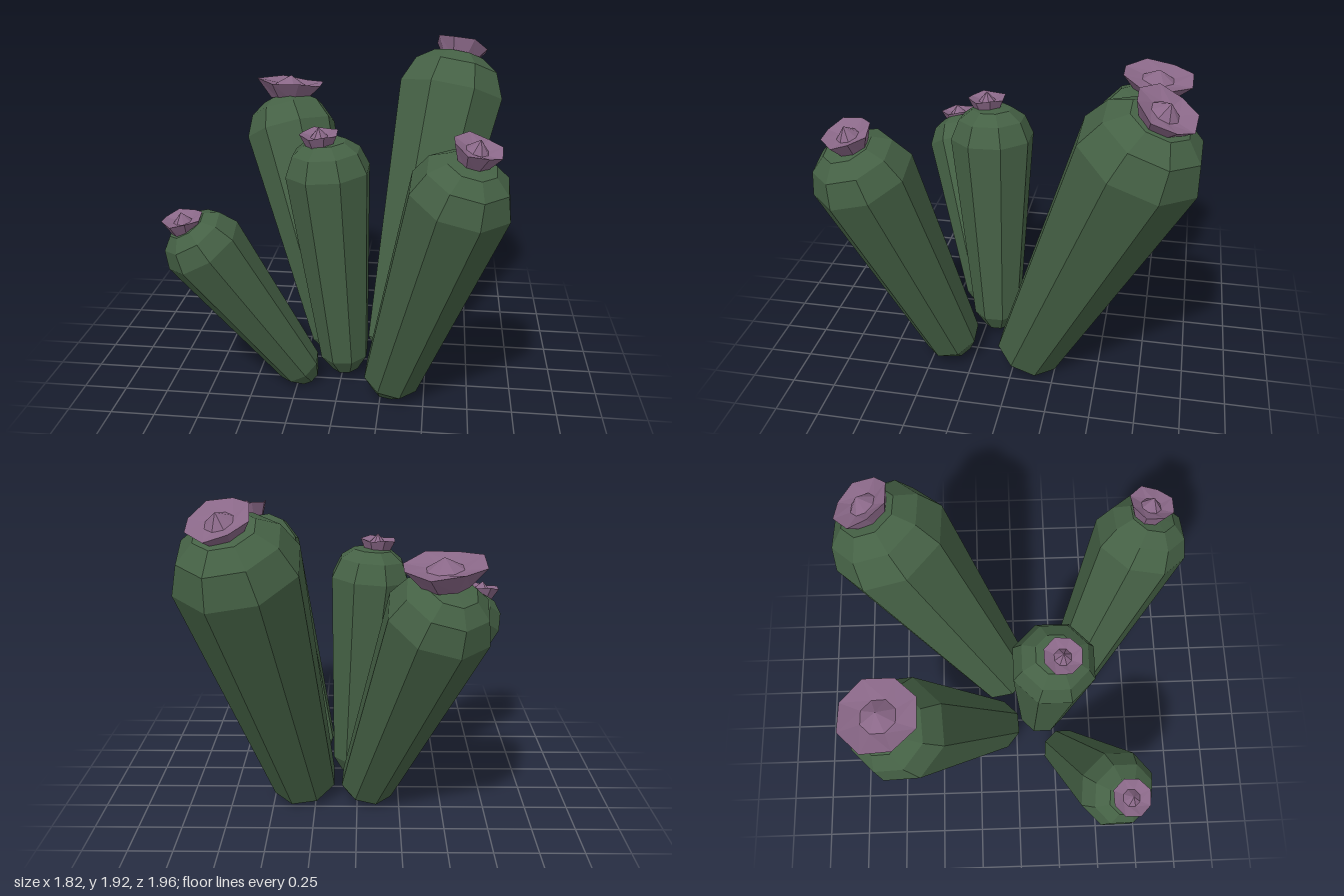
import * as THREE from 'three';

const SIDES = 8;
const UP = new THREE.Vector3(0, 1, 0);
const green = new THREE.MeshStandardMaterial({ color: 0x456145, flatShading: true });
const purple = new THREE.MeshStandardMaterial({ color: 0x8a6888, flatShading: true });

// Eight-sided lathe from [radius, height] pairs, flats facing the axes
function lathe(profile) {
  const pts = profile.map(([r, y]) => new THREE.Vector2(r, y));
  return new THREE.LatheGeometry(pts, SIDES, Math.PI / SIDES, Math.PI * 2);
}

// Stands a geometry at a point, leaning along a direction
function place(geometry, origin, direction) {
  geometry.applyQuaternion(new THREE.Quaternion().setFromUnitVectors(UP, direction.clone().normalize()));
  return geometry.translate(origin.x, origin.y, origin.z);
}

// Tapered stem with a pinched foot and a faceted dome
function makeStem(low, high, r0, r1) {
  const axis = high.clone().sub(low);
  const L = axis.length();
  const k = 1 / Math.cos(Math.PI / SIDES);
  const a = r0 * 1.04, b = r1 * (1 + k) / 2;
  const g = lathe([
    [0, -0.1], [a * 0.55, -0.1], [a, 0], [b, L],
    [b * 0.8, L + r1 * 0.48], [b * 0.48, L + r1 * 0.72], [0, L + r1 * 0.76],
  ]);
  place(g, low, axis);
  // Flatten the foot on the ground
  const p = g.attributes.position;
  for (let i = 0; i < p.count; i++) p.setY(i, Math.max(0, p.getY(i)));
  const mesh = new THREE.Mesh(g, green);
  mesh.name = 'stem';
  return mesh;
}

// Flared cup with an uneven rim and a pointed centre
function makeFlower(base, direction, R, h) {
  const g = lathe([[0, -0.02], [R * 0.55, -0.02], [R, h], [R * 0.45, h * 0.7], [0, h * 1.3]]);
  const p = g.attributes.position;
  for (let i = 0; i < p.count; i++) {
    const ring = i % 5, column = Math.floor(i / 5) % SIDES;
    if (ring === 2 && column % 2) p.setY(i, h * 0.85);
  }
  const mesh = new THREE.Mesh(place(g, base, direction), purple);
  mesh.name = 'flower';
  return mesh;
}

// low and high: stem ring centres; r: their radii; flower: base, lean, radius, height
const cacti = [
  { name: 'centreCactus', low: [0.015, 0.14, 0.17], high: [-0.075, 1.3, 0.205], r: [0.14, 0.235],
    flower: [[-0.115, 1.44, 0.24], [-0.05, 1, 0.05], 0.11, 0.09] },
  { name: 'backLeftCactus', low: [0.32, 0.095, -0.085], high: [0.59, 1.56, -0.68], r: [0.19, 0.33],
    flower: [[0.635, 1.76, -0.755], [0.25, 1, -0.5], 0.17, 0.1] },
  { name: 'backRightCactus', low: [-0.06, 0.1, -0.13], high: [-0.425, 1.3, -0.65], r: [0.16, 0.28],
    flower: [[-0.445, 1.51, -0.71], [0.08, 1, -0.1], 0.22, 0.1] },
  { name: 'frontLeftCactus', low: [0.31, 0.12, 0.39], high: [0.65, 1.36, 0.735], r: [0.16, 0.265],
    flower: [[0.7, 1.54, 0.755], [0.27, 1, 0.2], 0.13, 0.1] },
  { name: 'frontRightCactus', low: [-0.24, 0.11, 0.3], high: [-0.715, 0.96, 0.545], r: [0.125, 0.215],
    flower: [[-0.795, 1.06, 0.595], [-0.12, 1, 0.12], 0.11, 0.085] },
];

export function createModel() {
  const model = new THREE.Group();
  model.name = 'cactusCluster';
  const v = (a) => new THREE.Vector3(...a);
  for (const { name, low, high, r, flower } of cacti) {
    const group = new THREE.Group();
    group.name = name;
    const [base, lean, radius, height] = flower;
    group.add(makeStem(v(low), v(high), r[0], r[1]), makeFlower(v(base), v(lean), radius, height));
    model.add(group);
  }
  return model;
}
